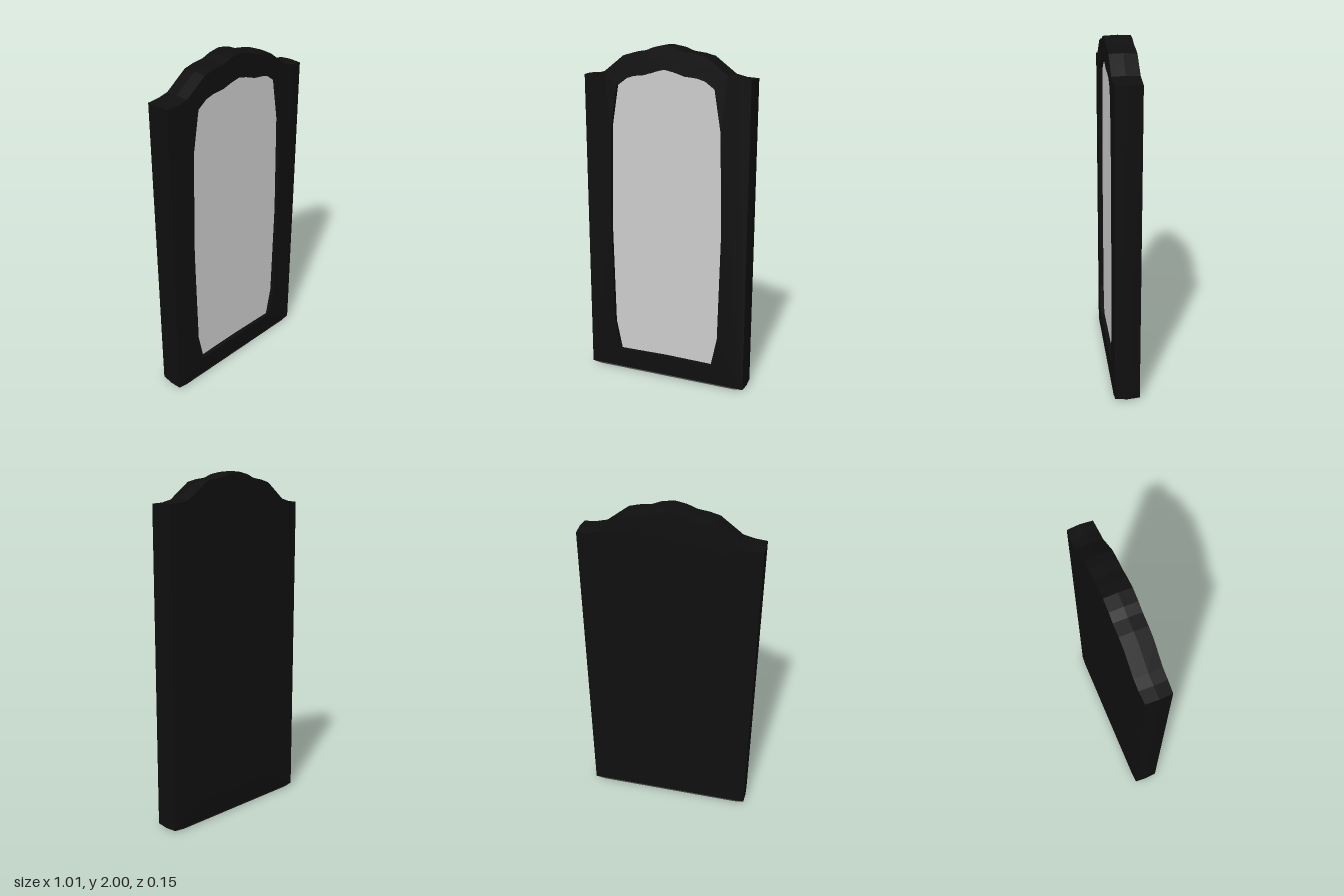
import * as THREE from 'three';

const HALF_DEPTH = 0.075;
const PANE_Z = 0.052;

// Right half of the frame outline, bottom to top
const OUTLINE = [[0, 0.004], [0.44, 0.004], [0.5, 0.01], [0.5, 1.825], [0.43, 1.83], [0.37, 1.845],
  [0.247, 1.938], [0.19, 1.953], [0.12, 1.963], [0.07, 1.983], [0, 1.996]];

// Right half of the glass opening, bottom to top
const OPENING = [[0, 0.135], [0.298, 0.13], [0.335, 0.31], [0.348, 0.92], [0.335, 1.53], [0.295, 1.77],
  [0.24, 1.81], [0.19, 1.825], [0.12, 1.832], [0.055, 1.853], [0, 1.865]];

// Full closed loop from a right half whose ends lie on x = 0
function mirrored(half) {
  const left = half.slice(1, -1).reverse().map(([x, y]) => [-x, y]);
  return [...half, ...left].map(([x, y]) => new THREE.Vector2(x, y));
}

export function createModel() {
  const group = new THREE.Group();
  const black = new THREE.MeshStandardMaterial({ color: 0x0f0f0f });
  const grey = new THREE.MeshStandardMaterial({ color: 0xcccccc });
  const add = (name, geometry, material) => {
    const mesh = new THREE.Mesh(geometry, material);
    mesh.name = name;
    group.add(mesh);
    return mesh;
  };

  // Frame with an opening
  const shape = new THREE.Shape(mirrored(OUTLINE));
  shape.holes.push(new THREE.Path(mirrored(OPENING)));
  const frame = new THREE.ExtrudeGeometry(shape, { depth: 2 * HALF_DEPTH, steps: 2, bevelEnabled: false });
  frame.translate(0, 0, -HALF_DEPTH);

  // Swell the rim slightly at mid depth and thin the outer side edges
  const p = frame.attributes.position;
  for (let i = 0; i < p.count; i++) {
    const x = p.getX(i), y = p.getY(i), z = p.getZ(i);
    if (Math.abs(z) < 0.01) p.setXY(i, x * 1.008, 1 + (y - 1) * 1.004);
    else if (Math.abs(x) > 0.48) p.setZ(i, z * 0.95);
  }
  frame.computeVertexNormals();
  add('frame', frame, black);

  // Recessed glass, and the panel closing the back
  const opening = new THREE.Shape(mirrored(OPENING));
  add('mirrorGlass', new THREE.ShapeGeometry(opening), grey).position.z = PANE_Z;
  const back = add('backPanel', new THREE.ShapeGeometry(opening), black);
  back.rotation.y = Math.PI;
  back.position.z = -HALF_DEPTH;

  return group;
}
